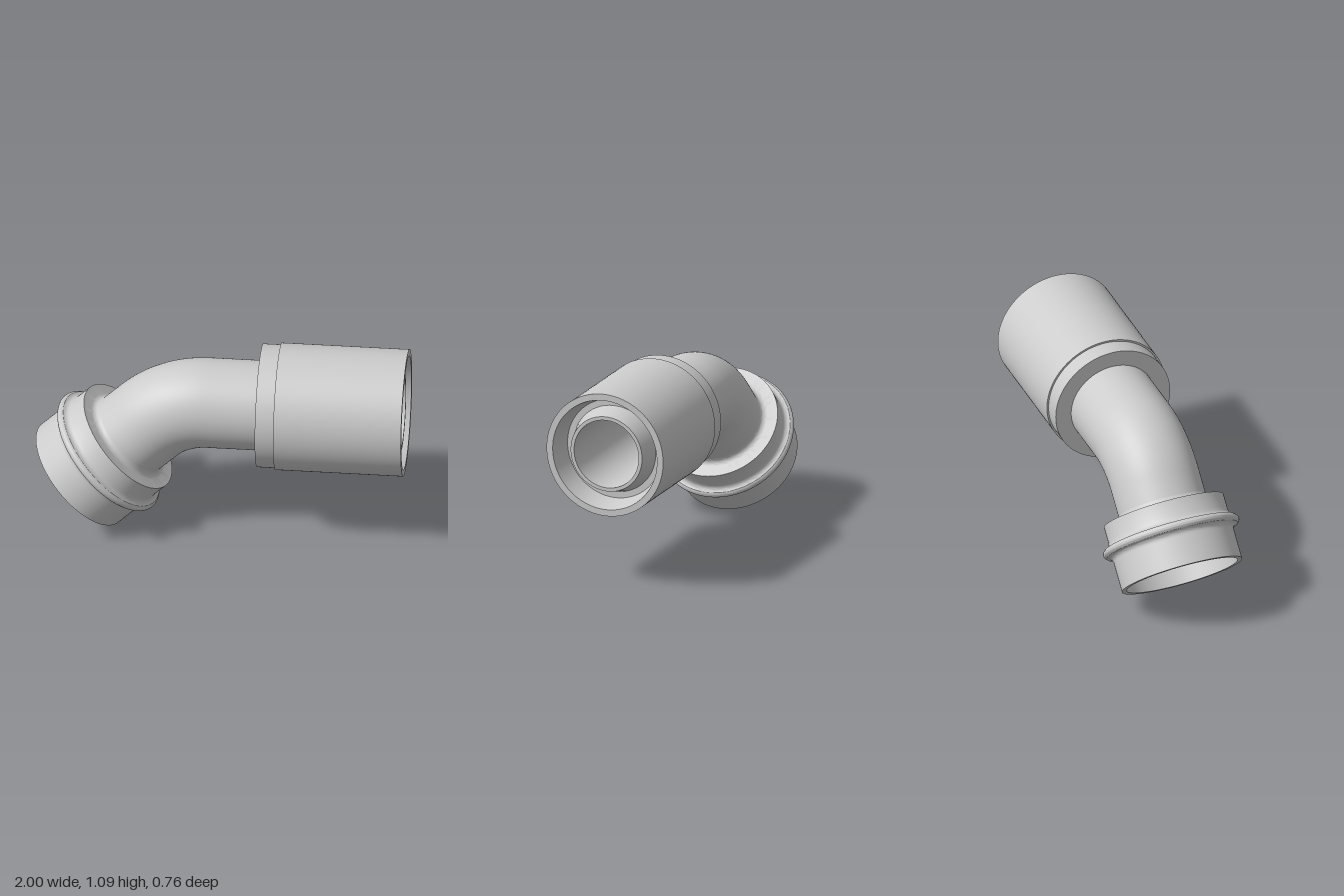
import * as THREE from 'three';
import { toCreasedNormals } from 'three/addons/utils/BufferGeometryUtils.js';

const AXIS_Y = 0.746;          // height of the straight axis
const CORNER_X = -0.255;       // where the two pipe axes cross
const HEAD_LENGTH = 0.717;     // from that crossing to the socket's mouth
const BEND_RADIUS = 0.45;
const PIPE_RADIUS = 0.243;
const BORE_RADIUS = 0.19;
const SEGMENTS = 96;

const makeMaterial = (side = THREE.FrontSide) =>
  new THREE.MeshStandardMaterial({ color: 0xcccccc, side });

// Turned part: profile of [radius, distance along axis], outside upward then inside downward
function turned(name, profile) {
  const points = [...profile, profile[0]].map(([r, s]) => new THREE.Vector2(r, s));
  const geometry = toCreasedNormals(new THREE.LatheGeometry(points, SEGMENTS), 0.6);
  const mesh = new THREE.Mesh(geometry, makeMaterial());
  mesh.name = name;
  return mesh;
}

// Points of a rounded corner
function arc(cr, cs, radius, from, to, steps = 6) {
  return Array.from({ length: steps + 1 }, (_, i) => {
    const a = THREE.MathUtils.degToRad(from + ((to - from) * i) / steps);
    return [cr + radius * Math.cos(a), cs + radius * Math.sin(a)];
  });
}

// Centre line: short leg at 45 degrees, bend, straight leg
function pipePath() {
  const startX = CORNER_X + BEND_RADIUS * Math.tan(Math.PI / 8);
  const at = (deg) => {
    const a = THREE.MathUtils.degToRad(deg);
    return new THREE.Vector3(startX + BEND_RADIUS * Math.cos(a),
      AXIS_Y - BEND_RADIUS + BEND_RADIUS * Math.sin(a), 0);
  };
  const bend = Array.from({ length: 13 }, (_, i) => at(135 - i * 3.75));
  const leg = (HEAD_LENGTH - 0.34) * Math.SQRT1_2;
  const path = new THREE.CurvePath();
  path.add(new THREE.LineCurve3(new THREE.Vector3(CORNER_X - leg, AXIS_Y - leg, 0), bend[0]));
  path.add(new THREE.CatmullRomCurve3(bend));
  path.add(new THREE.LineCurve3(bend[12], new THREE.Vector3(0.22, AXIS_Y, 0)));
  return path;
}

export function createModel() {
  const group = new THREE.Group();
  group.name = 'pipeElbow';

  // Bent pipe, outer wall and bore
  const path = pipePath();
  const walls = [['pipe', PIPE_RADIUS, THREE.FrontSide], ['pipeBore', BORE_RADIUS, THREE.BackSide]];
  for (const [name, radius, side] of walls) {
    const mesh = new THREE.Mesh(new THREE.TubeGeometry(path, 80, radius, SEGMENTS), makeMaterial(side));
    mesh.name = name;
    group.add(mesh);
  }

  // Sleeve nut with a stepped collar, a tapered mouth and the pipe's coned nose inside
  const sleeve = turned('sleeve', [
    [BORE_RADIUS, 0.21], [0.333, 0.21], [0.333, 0.31], [0.343, 0.31], [0.343, 1],
    [0.307, 1], [0.277, 0.87], [0.242, 0.87], [0.21, 0.98], [BORE_RADIUS, 0.98],
  ]);
  sleeve.rotation.z = -Math.PI / 2;
  sleeve.position.y = AXIS_Y;
  group.add(sleeve);

  // Socket head with a raised bead, a fillet at the pipe and an open mouth
  const head = turned('socketHead', [
    [0.31, 0], [0.336, 0], [0.336, 0.157],
    ...arc(0.366, 0.165, 0.03, 180, 90),
    ...arc(0.36, 0.217, 0.02, -50, 50),
    ...arc(0.366, 0.269, 0.03, 270, 180),
    [0.334, 0.275], [0.334, 0.365],
    ...arc(0.275, 0.397, 0.032, 270, 180),
    [BORE_RADIUS, 0.397], [BORE_RADIUS, 0.3], [0.31, 0.3],
  ]);
  head.rotation.z = -Math.PI / 4;
  const drop = HEAD_LENGTH * Math.SQRT1_2;
  head.position.set(CORNER_X - drop, AXIS_Y - drop, 0);
  group.add(head);

  return group;
}
